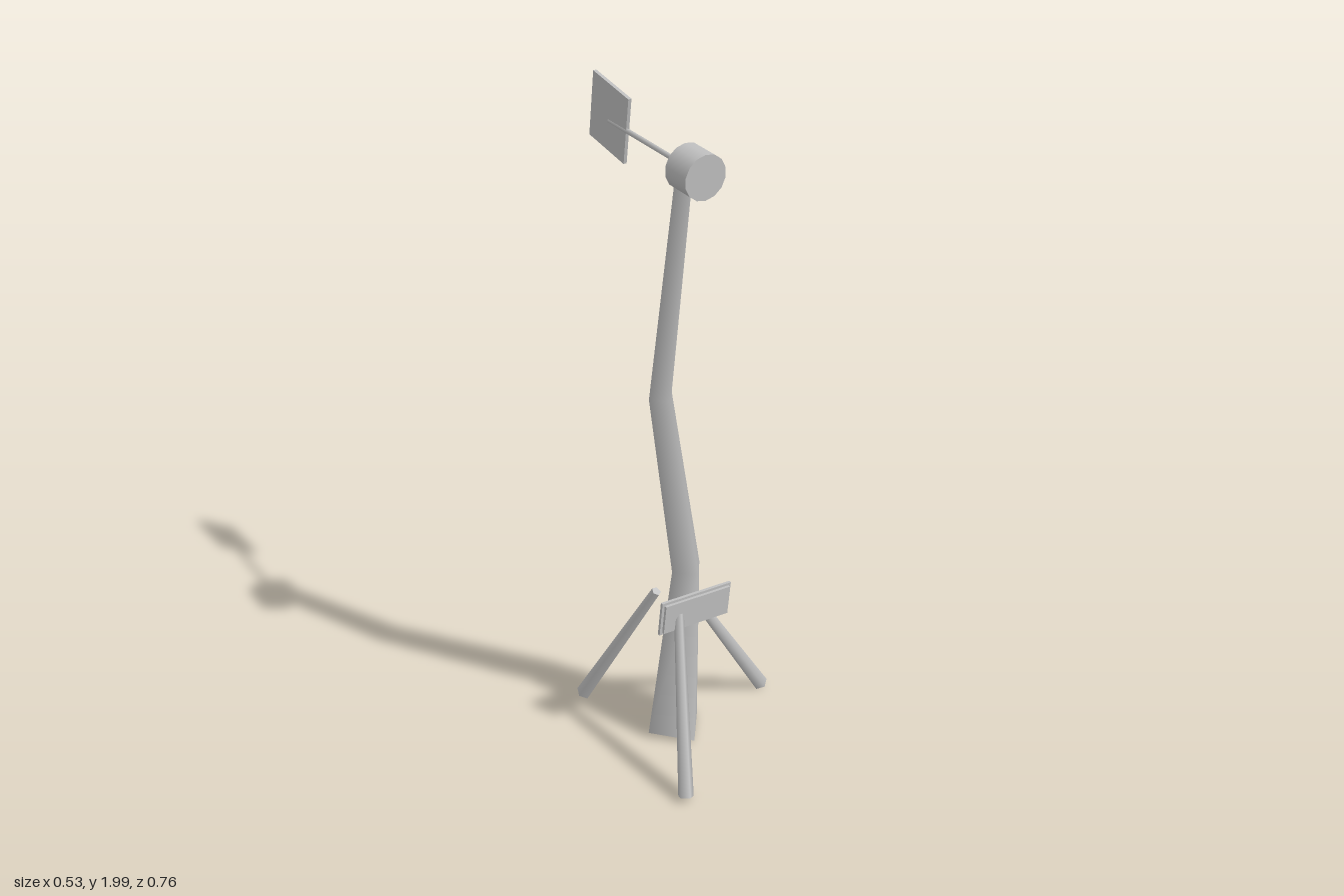
import * as THREE from 'three';

const grey = new THREE.MeshStandardMaterial({ color: 0xbfbfbf });
grey.name = 'plain grey';

function add(group, name, geometry) {
  const mesh = new THREE.Mesh(geometry, grey);
  mesh.name = name;
  group.add(mesh);
  return mesh;
}

// Tapered pole between two points
function pole(group, name, from, to, rFrom, rTo, sides) {
  const a = new THREE.Vector3(...from), b = new THREE.Vector3(...to);
  const dir = b.clone().sub(a);
  const mesh = add(group, name, new THREE.CylinderGeometry(rTo, rFrom, dir.length(), sides));
  mesh.position.copy(a).add(b).multiplyScalar(0.5);
  mesh.quaternion.setFromUnitVectors(new THREE.Vector3(0, 1, 0), dir.normalize());
  return mesh;
}

// Crooked five-sided post: one cross-section scaled along a bent path
function postGeometry() {
  const section = [[0.09, -0.088], [-0.01, -0.086], [-0.09, -0.011], [0.01, 0.09], [0.09, -0.011]];
  const rings = [ // x, y, z, scale, tilt
    [-0.09, 0.022, 0.088, 1, -0.08],
    [-0.038, 0.6, 0.077, 0.54, 0],
    [-0.108, 1.2, 0.054, 0.42, 0],
    [-0.043, 1.875, 0.077, 0.31, 0],
  ];
  const n = section.length, pos = [], index = [];
  const pushRing = ([x, y, z, s, tilt]) =>
    section.forEach(([u, v]) => pos.push(x + u * s, y + u * s * tilt, z + v * s));
  rings.forEach(pushRing);
  for (let r = 0; r < rings.length - 1; r++) {
    for (let i = 0; i < n; i++) {
      const a = r * n + i, b = r * n + (i + 1) % n;
      index.push(a, b, b + n, a, b + n, a + n);
    }
  }
  // End caps with their own corners, so their edges stay sharp
  const low = rings.length * n, high = low + n;
  pushRing(rings[0]);
  pushRing(rings[rings.length - 1]);
  for (let i = 1; i < n - 1; i++) {
    index.push(low, low + i + 1, low + i, high, high + i, high + i + 1);
  }
  const g = new THREE.BufferGeometry();
  g.setAttribute('position', new THREE.Float32BufferAttribute(pos, 3));
  g.setIndex(index);
  g.computeVertexNormals();
  return g;
}

export function createModel() {
  const model = new THREE.Group();
  model.name = 'crookedPost';

  add(model, 'post', postGeometry());

  // Three splayed supports
  const legs = [
    [[-0.237, 0.02, -0.205], [-0.11, 0.51, 0.023]],
    [[0.247, 0.02, 0.075], [-0.01, 0.475, 0.077]],
    [[-0.238, 0.02, 0.36], [-0.108, 0.5, 0.137]],
  ];
  for (const [foot, top] of legs) pole(model, 'supportLeg', foot, top, 0.024, 0.015, 5);

  // Tilted sign board with a slightly smaller front panel
  const sign = new THREE.Group();
  sign.name = 'signBoard';
  sign.position.set(-0.05, 0.492, 0.134);
  sign.rotation.z = -0.105;
  add(sign, 'signBack', new THREE.BoxGeometry(0.245, 0.11, 0.009));
  add(sign, 'signFront', new THREE.BoxGeometry(0.228, 0.094, 0.009)).position.z = 0.0085;
  model.add(sign);

  // Drum head at the top
  const head = add(model, 'head', new THREE.CylinderGeometry(0.063, 0.063, 0.09, 14));
  head.rotation.x = Math.PI / 2;
  head.position.set(-0.043, 1.877, 0.12);

  // Tail rod and vane
  pole(model, 'tailRod', [-0.043, 1.877, 0.08], [-0.043, 1.877, -0.28], 0.0075, 0.0075, 6);
  const vane = add(model, 'tailVane', new THREE.BoxGeometry(0.01, 0.196, 0.172));
  vane.position.set(-0.043, 1.888, -0.278);
  vane.rotation.x = 0.15;

  return model;
}
